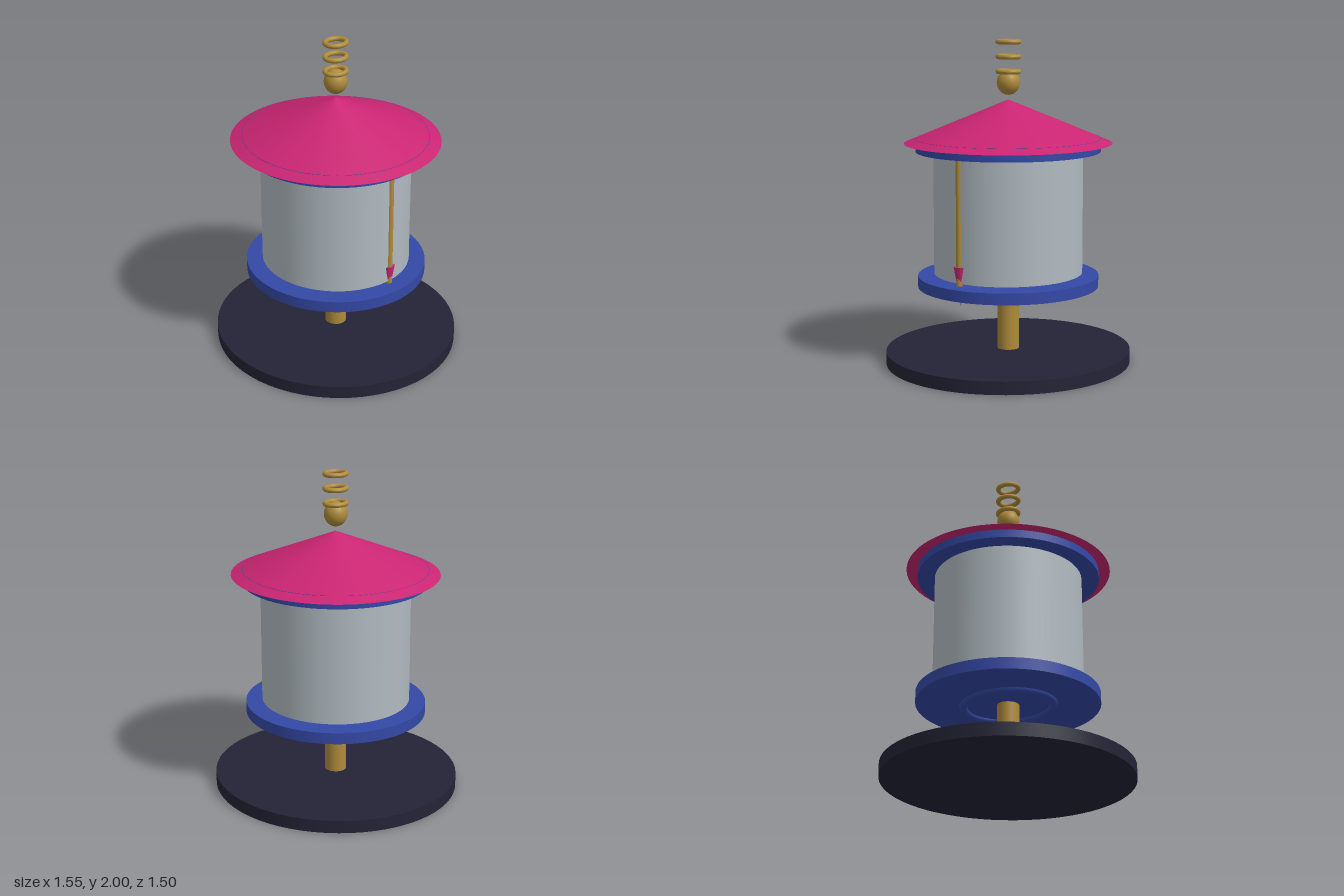
import * as THREE from 'three';

const paint = (name, color) => {
  const m = new THREE.MeshStandardMaterial({ color });
  m.name = name;
  return m;
};

export function createModel() {
  const model = new THREE.Group();
  model.name = 'carousel';
  const navy = paint('navy', 0x232336);
  const blue = paint('blue', 0x3448a6);
  const magenta = paint('magenta', 0xca2572);
  const gold = paint('gold', 0xae8a3a);
  const silver = paint('silver', 0xb0bac0);

  const add = (name, geometry, material, x = 0, y = 0, z = 0) => {
    const mesh = new THREE.Mesh(geometry, material);
    mesh.name = name;
    mesh.position.set(x, y, z);
    model.add(mesh);
    return mesh;
  };

  // Upright, slightly oval disc or column between two heights
  const drum = (name, material, rx, rz, y0, y1, x = 0) => {
    const g = new THREE.CylinderGeometry(1, 1, y1 - y0, 64);
    g.scale(rx, 1, rz);
    return add(name, g, material, x, (y0 + y1) / 2);
  };

  // Flat-lying oval ring, given its outer half-widths
  const ring = (name, material, rx, rz, tube, y) => {
    const g = new THREE.TorusGeometry(1, tube, 16, 64);
    g.rotateX(Math.PI / 2);
    const p = g.attributes.position;
    for (let i = 0; i < p.count; i++) {
      const a = Math.atan2(p.getZ(i), p.getX(i));
      const out = Math.hypot(p.getX(i), p.getZ(i)) - 1;
      p.setX(i, Math.cos(a) * (rx - tube + out));
      p.setZ(i, Math.sin(a) * (rz - tube + out));
    }
    g.computeVertexNormals();
    return add(name, g, material, 0, y);
  };

  // Base, post and platform
  drum('base', navy, 0.775, 0.75, 0, 0.08);
  drum('post', gold, 0.068, 0.066, 0.08, 0.54);
  drum('platform', blue, 0.566, 0.555, 0.48, 0.55);
  ring('platformCollar', blue, 0.276, 0.307, 0.025, 0.48);

  // Central drum, hung just above the platform
  drum('centralDrum', silver, 0.466, 0.455, 0.565, 1.33);

  // Canopy
  drum('canopyRing', blue, 0.574, 0.564, 1.32, 1.4);
  const roof = new THREE.ConeGeometry(1, 0.265, 64, 4);
  roof.scale(0.645, 1, 0.633);
  add('roof', roof, magenta, 0, 1.5025);

  // Side pole with downward cones
  drum('sidePole', gold, 0.022, 0.021, 0.54, 1.33, 0.455);
  [['sideCone', 0.448], ['innerCone', 0]].forEach(([name, x]) => {
    const cone = new THREE.ConeGeometry(0.041, 0.235, 24);
    cone.rotateX(Math.PI);
    add(name, cone, magenta, x, 0.5475);
  });

  // Finial ball and floating rings
  const ball = new THREE.SphereGeometry(0.071, 32, 24);
  ball.scale(1, 1.08, 1);
  add('finialBall', ball, gold, 0, 1.74);
  for (let i = 0; i < 3; i++) {
    ring('finialRing' + (i + 1), gold, 0.074, 0.082, 0.015, 1.805 + i * 0.09);
  }

  return model;
}
